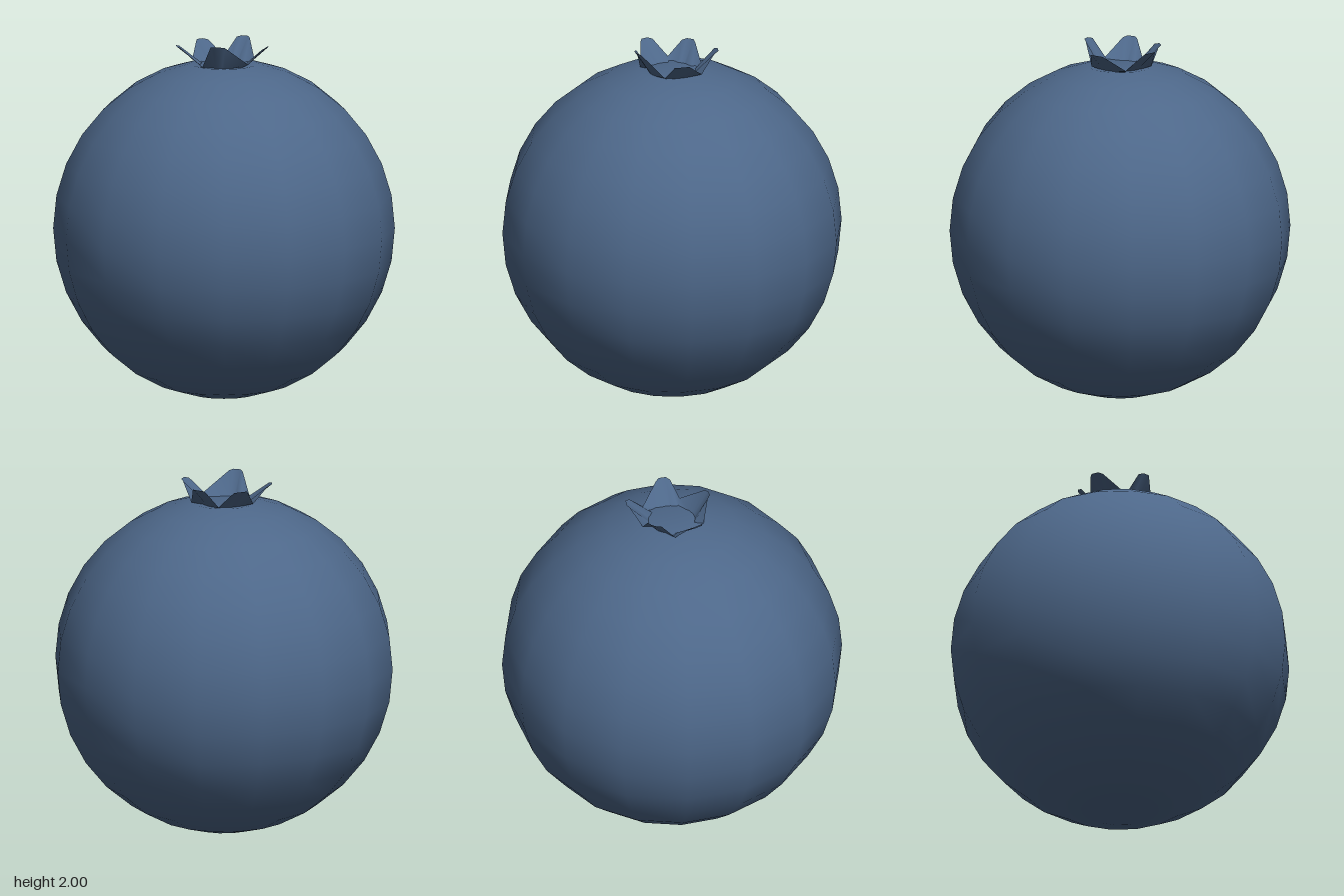
import * as THREE from 'three';

const R = 0.945;

// Petal tips and the notches that follow them, as [x, y, z], clockwise from the back
const TIPS = [
  [0.02, 1.985, -0.255], [0.25, 1.975, -0.03], [0.045, 2.0, 0.21],
  [-0.235, 1.975, 0.125], [-0.195, 1.975, -0.125],
];
const NOTCHES = [
  [0.12, 1.88, -0.15], [0.17, 1.885, 0.06], [-0.06, 1.872, 0.17],
  [-0.19, 1.88, 0.0], [-0.07, 1.88, -0.17],
];

// Faceted round berry with a shallow dimple under the crown
function makeBerry(material) {
  const geometry = new THREE.SphereGeometry(R, 16, 16);
  const pos = geometry.attributes.position;
  for (let i = 0; i < pos.count; i++) {
    if (pos.getY(i) > R * 0.995) pos.setY(i, R - 0.04);
  }
  geometry.translate(0, R, 0);
  const berry = new THREE.Mesh(geometry, material);
  berry.name = 'berry';
  return berry;
}

// Five flared petals rising from a small ring
function makeCrown(material) {
  const rim = [];
  TIPS.forEach(([x, y, z], i) => {
    const r = Math.hypot(x, z);
    const tx = -z / r, tz = x / r;
    for (const [side, back] of [[-0.04, 0.02], [-0.02, 0], [0.02, 0], [0.04, 0.02]]) {
      const k = 1 - back / r;
      rim.push([x * k + tx * side, y - back * 0.3, z * k + tz * side]);
    }
    rim.push(NOTCHES[i]);
  });

  const points = [], index = [], n = rim.length;
  for (const p of rim) {
    const a = Math.atan2(p[2], p[0]);
    points.push(0.125 * Math.cos(a), 1.86, 0.125 * Math.sin(a), ...p);
  }
  for (let i = 0; i < n; i++) {
    const a = i * 2, b = ((i + 1) % n) * 2;
    index.push(a, a + 1, b, b, a + 1, b + 1);
  }
  const geometry = new THREE.BufferGeometry();
  geometry.setAttribute('position', new THREE.Float32BufferAttribute(points, 3));
  geometry.setIndex(index);
  geometry.computeVertexNormals();
  const crown = new THREE.Mesh(geometry, material);
  crown.name = 'crown';
  return crown;
}

export function createModel() {
  const blue = new THREE.MeshStandardMaterial({ color: 0x4d6789, side: THREE.DoubleSide });
  blue.name = 'berry blue';
  const model = new THREE.Group();
  model.name = 'blueberry';
  model.add(makeBerry(blue), makeCrown(blue));
  return model;
}
